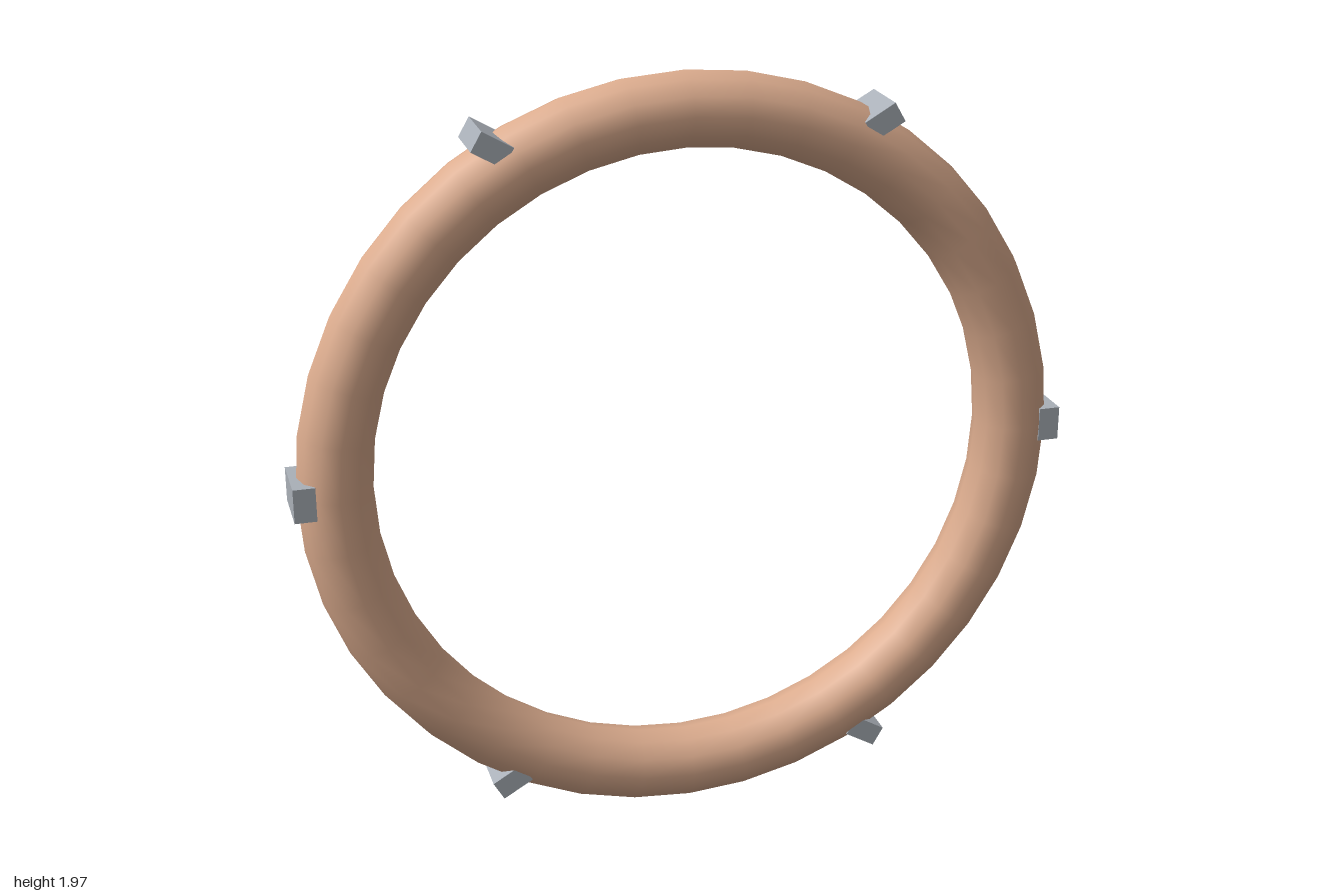
import * as THREE from 'three';

export function createModel() {
  const group = new THREE.Group();
  const tan = new THREE.MeshStandardMaterial({ color: 0xdcac8e });
  tan.name = 'tan';
  const grey = new THREE.MeshStandardMaterial({ color: 0xaab0b8 });
  grey.name = 'steelGrey';

  const tube = 0.095, radius = 0.89, centreY = radius + tube;

  // Upright ring
  const ring = new THREE.Mesh(new THREE.TorusGeometry(radius, tube, 12, 40), tan);
  ring.name = 'ring';
  ring.position.y = centreY;
  group.add(ring);

  // Six clamp blocks set into the rim, each turned against its angle
  const blockGeometry = new THREE.BoxGeometry(0.055, 0.088, 0.152);
  const blockRadius = 0.9725;
  for (let i = 0; i < 6; i++) {
    const angle = (i * Math.PI) / 3;
    const block = new THREE.Mesh(blockGeometry, grey);
    block.name = `rimBlock${i + 1}`;
    block.position.set(blockRadius * Math.cos(angle), centreY + blockRadius * Math.sin(angle), 0);
    block.rotation.z = -angle;
    group.add(block);
  }
  return group;
}
